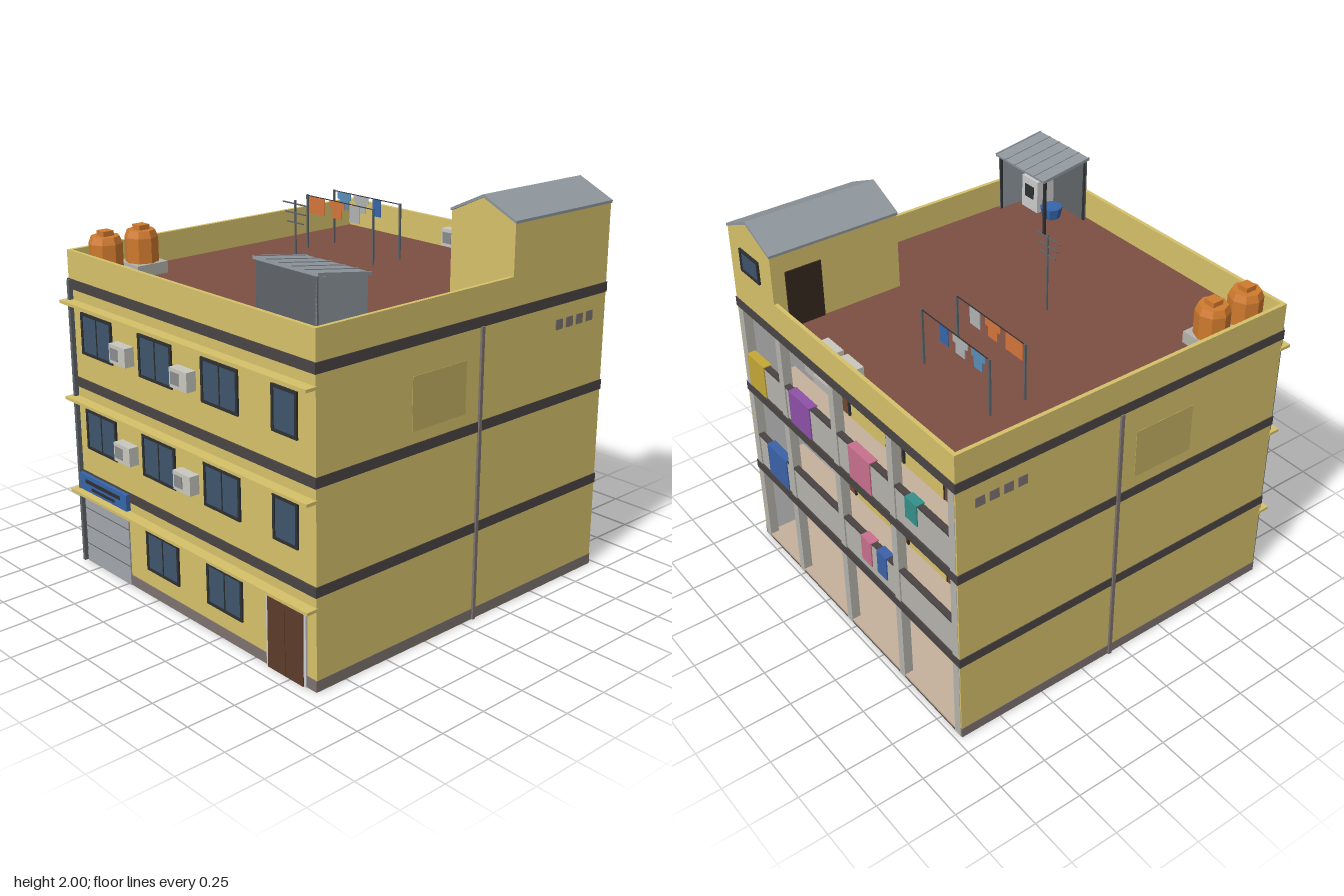
import * as THREE from 'three';

const C = {
  wall: 0xd6c16a, band: 0x4a4544, plinth: 0x7d736f, roof: 0x7d4e42, frame: 0x2e3032, glass: 0x3f546c,
  metal: 0x8f979d, steel: 0x5f6468, shutter: 0xa2a6aa, unit: 0xc8c8c0, fan: 0x8a8c8c, brown: 0x5c3c2c, door: 0x75462f,
  white: 0xdededa, concrete: 0xb4b3ac, slab: 0x5c5653, beige: 0xc4b09c, blue: 0x3566ac, orange: 0xcf7a2e,
  cloth: 0xd4743a, grey: 0xb0b2b4, patch: 0xc3b063, dark: 0x35271f,
};
const mats = {};
const mat = (c) => (mats[c] ??= new THREE.MeshStandardMaterial({ color: c, flatShading: true, side: THREE.DoubleSide }));

export function createModel() {
  const root = new THREE.Group();
  const add = (name, geo, color) => {
    const m = new THREE.Mesh(geo, mat(color));
    m.name = name;
    root.add(m);
    return m;
  };
  // box given by its minimum and maximum on each axis
  const box = (name, color, x0, x1, y0, y1, z0, z1) => {
    const m = add(name, new THREE.BoxGeometry(x1 - x0, y1 - y0, z1 - z0), color);
    m.position.set((x0 + x1) / 2, (y0 + y1) / 2, (z0 + z1) / 2);
    return m;
  };
  // the same box on both sides of the building
  const sides = (name, color, x0, x1, ...r) => {
    box(name, color, x0, x1, ...r);
    box(name, color, -x1, -x0, ...r);
  };
  // outline in x-y extruded from z0 to z1
  const prism = (name, color, pts, z0, z1) => {
    const s = new THREE.Shape(pts.map((p) => new THREE.Vector2(...p)));
    add(name, new THREE.ExtrudeGeometry(s, { depth: z1 - z0, bevelEnabled: false }), color).position.z = z0;
  };
  // window on a wall at z, dir = outward direction along z
  const windowAt = (x0, x1, y0, y1, z, dir, panes) => {
    const layer = (name, c, a, b, d, e, t) => box(name, c, a, b, d, e, Math.min(z, z + dir * t), Math.max(z, z + dir * t));
    const f = 0.014, w = (x1 - x0 - 2 * f) / panes;
    layer('windowGlass', C.glass, x0 + f, x1 - f, y0 + f, y1 - f, 0.005);
    layer('windowFrame', C.frame, x0, x1, y0, y0 + f, 0.01);
    layer('windowFrame', C.frame, x0, x1, y1 - f, y1, 0.01);
    for (const x of [x0, x1 - f]) layer('windowFrame', C.frame, x, x + f, y0, y1, 0.01);
    for (let i = 1; i < panes; i++) layer('windowMullion', C.frame, x0 + f + i * w - 0.003, x0 + f + i * w + 0.003, y0, y1, 0.008);
  };
  const acUnit = (x0, y0, z0, z1) => {
    box('airConditioner', C.unit, x0, x0 + 0.13, y0, y0 + 0.095, z0, z1);
    box('airConditionerFan', C.fan, x0 + 0.012, x0 + 0.072, y0 + 0.018, y0 + 0.077, z1, z1 + 0.003);
  };
  const shirt = (name, color, x, top, w, h, z) => {
    const a = w / 2, b = w * 0.3;
    prism(name, color, [[x - b, top - h], [x + b, top - h], [x + b, top - h * 0.45], [x + a, top - h * 0.4], [x + a, top],
      [x - a, top], [x - a, top - h * 0.4], [x - b, top - h * 0.45]], z, z + 0.004);
  };

  // outer shell, open underneath
  sides('sideWall', C.wall, 0.89, 0.91, 0, 1.65, -0.97, 0.92);
  box('frontWall', C.wall, -0.89, 0.89, 0, 1.65, 0.9, 0.92);
  box('backParapet', C.wall, -0.89, 0.89, 1.47, 1.65, -0.97, -0.95);
  box('galleryWall', C.wall, -0.89, 0.52, 0, 1.47, -0.72, -0.70);
  box('stairwellWall', C.wall, 0.51, 0.53, 0, 1.47, -0.70, -0.28);
  box('stairwellWall', C.wall, 0.51, 0.89, 0, 1.47, -0.29, -0.27);
  sides('galleryEndWall', C.white, 0.884, 0.8899, 0.02, 1.46, -0.96, -0.71);
  box('stairwellLining', C.white, 0.884, 0.8899, 0.02, 1.46, -0.71, -0.29);
  box('roofDeck', C.roof, -0.89, 0.53, 1.46, 1.5, -0.95, 0.9);
  box('roofDeck', C.roof, 0.53, 0.89, 1.46, 1.5, -0.28, 0.9);

  // floor bands, plinth and front ledges
  for (const y of [0.455, 0.957, 1.457]) {
    sides('floorBand', C.band, 0.9, 0.914, y, y + 0.05, -0.974, 0.926);
    box('floorBand', C.band, -0.9, 0.9, y, y + 0.05, 0.91, 0.926);
    box('floorBand', C.band, -0.9, 0.9, y, y + 0.05, -0.974, -0.955);
  }
  sides('plinth', C.plinth, 0.9, 0.913, 0, 0.055, -0.97, 0.924);
  for (const [a, b] of [[-0.9, -0.865], [-0.48, 0.585], [0.85, 0.9]]) box('plinth', C.plinth, a, b, 0, 0.055, 0.91, 0.924);
  for (const y of [0.39, 0.89, 1.39]) box('frontLedge', C.wall, -0.914, 0.914, y, y + 0.015, 0.915, 0.978);

  // front windows and air conditioners
  for (let f = 0; f < 3; f++) {
    const y = f * 0.5 + 0.142;
    for (const x of f ? [-0.81, -0.33, 0.15] : [-0.33, 0.15]) windowAt(x, x + 0.26, y, y + 0.213, 0.92, 1, 2);
    if (f) {
      windowAt(0.635, 0.8, y, y + 0.213, 0.92, 1, 1);
      for (const x of [-0.505, -0.025]) acUnit(x, f * 0.5 + 0.18, 0.92, 0.973);
    }
  }
  // shutter, signboard, entrance
  box('shutter', C.shutter, -0.865, -0.48, 0, 0.39, 0.91, 0.928);
  for (let i = 1; i < 4; i++) box('shutterRib', C.steel, -0.865, -0.48, i * 0.1, i * 0.1 + 0.004, 0.928, 0.93);
  box('signboard', C.blue, -0.875, -0.465, 0.41, 0.497, 0.91, 0.945);
  box('signStripe', C.frame, -0.82, -0.52, 0.455, 0.475, 0.94, 0.948);
  box('signStripe', C.frame, -0.77, -0.57, 0.425, 0.44, 0.94, 0.948);
  box('doorFrame', C.white, 0.583, 0.85, 0, 0.388, 0.91, 0.93);
  for (const x of [0.598, 0.718]) box('entranceDoor', C.brown, x, x + 0.117, 0, 0.37, 0.915, 0.935);
  box('frontDrainpipe', C.steel, -0.895, -0.877, 0, 1.505, 0.92, 0.942);

  // side walls: drainpipe, repair patch, vents
  sides('sideDrainpipe', C.plinth, 0.905, 0.922, 0, 1.46, -0.085, -0.067);
  sides('wallPatch', C.patch, 0.905, 0.912, 1.065, 1.32, 0.02, 0.36);
  for (let i = 0; i < 4; i++) sides('wallVent', C.plinth, 0.905, 0.914, 1.335, 1.385, -0.647 - i * 0.075, -0.597 - i * 0.075);

  // rear galleries
  box('groundSlab', C.slab, -0.89, 0.89, 0, 0.012, -0.97, -0.71);
  box('groundFloor', C.beige, -0.89, 0.89, 0.012, 0.022, -0.97, -0.71);
  for (const y of [0.5, 1]) {
    box('gallerySlab', C.slab, -0.89, 0.89, y - 0.04, y - 0.005, -0.96, -0.71);
    box('galleryFloor', C.beige, -0.89, 0.89, y - 0.005, y + 0.003, -0.955, -0.71);
    box('galleryRailing', C.concrete, -0.89, 0.89, y, y + 0.19, -0.965, -0.945);
    box('railingCap', C.band, -0.89, 0.89, y + 0.19, y + 0.203, -0.97, -0.94);
  }
  for (const x of [-0.88, -0.42, 0.055, 0.527, 0.88]) box('galleryColumn', C.concrete, x - 0.022, x + 0.022, 0, 1.46, -0.972, -0.925);
  for (let f = 0; f < 3; f++) {
    for (let i = 0; i < 3; i++) {
      const x = 0.4 - i * 0.473, y = f * 0.5 + 0.02;
      box('roomDoor', C.door, x - 0.068, x + 0.068, y, y + 0.36, -0.729, -0.71);
      for (const s of [-1, 1]) box('roomDoorFrame', C.frame, x + s * 0.071 - 0.005, x + s * 0.071 + 0.005, y, y + 0.37, -0.731, -0.71);
      windowAt(x - 0.33, x - 0.17, y + 0.13, y + 0.33, -0.72, -1, 2);
    }
    // two half flights with a landing per storey
    for (let k = 0; k < 5; k++) {
      const y = f * 0.5 + k * 0.05, z = -0.71 + k * 0.06;
      box('stairStep', C.concrete, 0.53, 0.7, y, y + 0.05, z, z + 0.065);
      box('stairStep', C.concrete, 0.715, 0.884, y + 0.2, y + 0.25, -0.415 - k * 0.06, -0.35 - k * 0.06).position.y += 0.05;
    }
    box('stairLanding', C.concrete, 0.53, 0.884, f * 0.5 + 0.215, f * 0.5 + 0.25, -0.41, -0.29);
  }
  // laundry over the railings: x range, top, height, colour
  for (const [a, b, top, h, c] of [
    [0.69, 0.85, 1.205, 0.18, 0xc4a838], [0.26, 0.45, 1.205, 0.18, 0x8f50a8], [-0.26, -0.08, 1.205, 0.18, 0xc8708e],
    [-0.63, -0.54, 1.205, 0.11, 0x35908a], [0.56, 0.75, 0.705, 0.18, 0x3c62a8], [-0.22, -0.135, 0.705, 0.14, 0xc8708e],
    [-0.35, -0.27, 0.705, 0.13, 0x3c62a8]]) {
    box('railingLaundry', c, a, b, top - h, top, -0.982, -0.976);
    box('railingLaundry', c, a, b, top, top + 0.005, -0.982, -0.935);
  }
  shirt('hangingShirt', 0x5f9a52, -0.78, 0.95, 0.1, 0.1, -0.885);
  shirt('hangingShirt', 0x5f9a52, -0.3, 0.45, 0.1, 0.1, -0.885);

  // stair house with gabled roof
  const gable = [[0.52, 1.5], [0.91, 1.5], [0.91, 1.895], [0.715, 1.985], [0.52, 1.895]];
  prism('stairHouseFront', C.wall, gable, -0.3, -0.28);
  prism('stairHouseBack', C.wall, gable, -0.97, -0.95);
  for (const x of [0.52, 0.89]) box('stairHouseWall', C.wall, x, x + 0.02, 1.5, 1.897, -0.965, -0.285);
  prism('stairHouseRoof', C.metal, [[0.515, 1.895], [0.715, 1.985], [0.915, 1.895], [0.915, 1.908], [0.715, 2.0], [0.515, 1.908]], -0.975, -0.275);
  windowAt(0.63, 0.805, 1.705, 1.825, -0.97, -1, 1);
  box('stairHouseDoor', C.dark, 0.512, 0.53, 1.5, 1.8, -0.9, -0.71);

  // lean-to shed, open on two sides
  box('shedFrontPanel', C.steel, 0.49, 0.875, 1.5, 1.845, 0.87, 0.88);
  const side = new THREE.Shape([[-0.88, 1.5], [-0.6, 1.5], [-0.6, 1.81], [-0.88, 1.845]].map((p) => new THREE.Vector2(...p)));
  const panel = add('shedSidePanel', new THREE.ExtrudeGeometry(side, { depth: 0.01, bevelEnabled: false }), C.metal);
  panel.rotation.y = Math.PI / 2;
  panel.position.x = 0.865;
  for (const x of [0.49, 0.86]) box('shedPost', C.frame, x, x + 0.014, 1.5, 1.81, 0.6, 0.614);
  box('shedPost', C.frame, 0.49, 0.504, 1.5, 1.84, 0.866, 0.88);
  const roof = new THREE.Group();
  roof.name = 'shedRoof';
  const sheet = box('shedRoofSheet', C.metal, 0.478, 0.885, -0.006, 0.006, -0.151, 0.151);
  roof.add(sheet);
  for (let i = 0; i < 6; i++) roof.add(box('shedRoofRib', C.metal, 0.478 + i * 0.08, 0.485 + i * 0.08, 0.004, 0.01, -0.151, 0.151));
  roof.position.set(0, 1.833, 0.735);
  roof.rotation.x = -0.15;
  root.add(roof);
  box('washingMachine', C.white, 0.7, 0.83, 1.5, 1.68, 0.72, 0.83);
  box('washingMachineDoor', C.frame, 0.73, 0.8, 1.57, 1.64, 0.715, 0.72);
  add('washTub', new THREE.CylinderGeometry(0.06, 0.048, 0.06, 8), C.blue).position.set(0.63, 1.53, 0.76);

  // water tanks
  for (const z of [0.57, 0.78]) {
    box('tankBase', C.concrete, -0.868, -0.69, 1.5, 1.56, z - 0.09, z + 0.09);
    add('waterTank', new THREE.CylinderGeometry(0.084, 0.084, 0.125, 8), C.orange).position.set(-0.78, 1.6225, z);
    add('tankShoulder', new THREE.CylinderGeometry(0.07, 0.084, 0.035, 8), C.orange).position.set(-0.78, 1.7025, z);
    box('tankLid', C.orange, -0.81, -0.75, 1.715, 1.745, z - 0.03, z + 0.03);
  }

  // clothes lines
  for (const z of [-0.57, -0.38]) {
    for (const x of [-0.61, -0.11]) box('linePost', C.steel, x - 0.005, x + 0.005, 1.5, 1.79, z - 0.005, z + 0.005);
    box('clothesLine', C.frame, -0.61, -0.11, 1.784, 1.788, z - 0.002, z + 0.002);
  }
  box('lineTowel', C.cloth, -0.595, -0.475, 1.695, 1.785, -0.382, -0.378);
  shirt('lineShirt', C.cloth, -0.38, 1.785, 0.11, 0.09, -0.382);
  box('lineTowel', C.grey, -0.285, -0.21, 1.695, 1.785, -0.382, -0.378);
  shirt('lineShirt', C.grey, -0.4, 1.785, 0.11, 0.09, -0.572);
  shirt('lineShirt', 0x5a8fb8, -0.53, 1.785, 0.1, 0.09, -0.572);
  box('lineTowel', C.blue, -0.31, -0.25, 1.695, 1.785, -0.572, -0.568);

  // antenna
  box('antennaMast', C.steel, -0.095, -0.087, 1.5, 1.91, 0.151, 0.159);
  for (const [y, h] of [[1.893, 0.09], [1.848, 0.073], [1.802, 0.058]]) box('antennaBar', C.steel, -0.091 - h, -0.091 + h, y - 0.003, y + 0.003, 0.152, 0.158);

  // roof air conditioners
  for (const x of [-0.115, 0.05]) acUnit(x, 1.52, -0.945, -0.888);

  return root;
}
